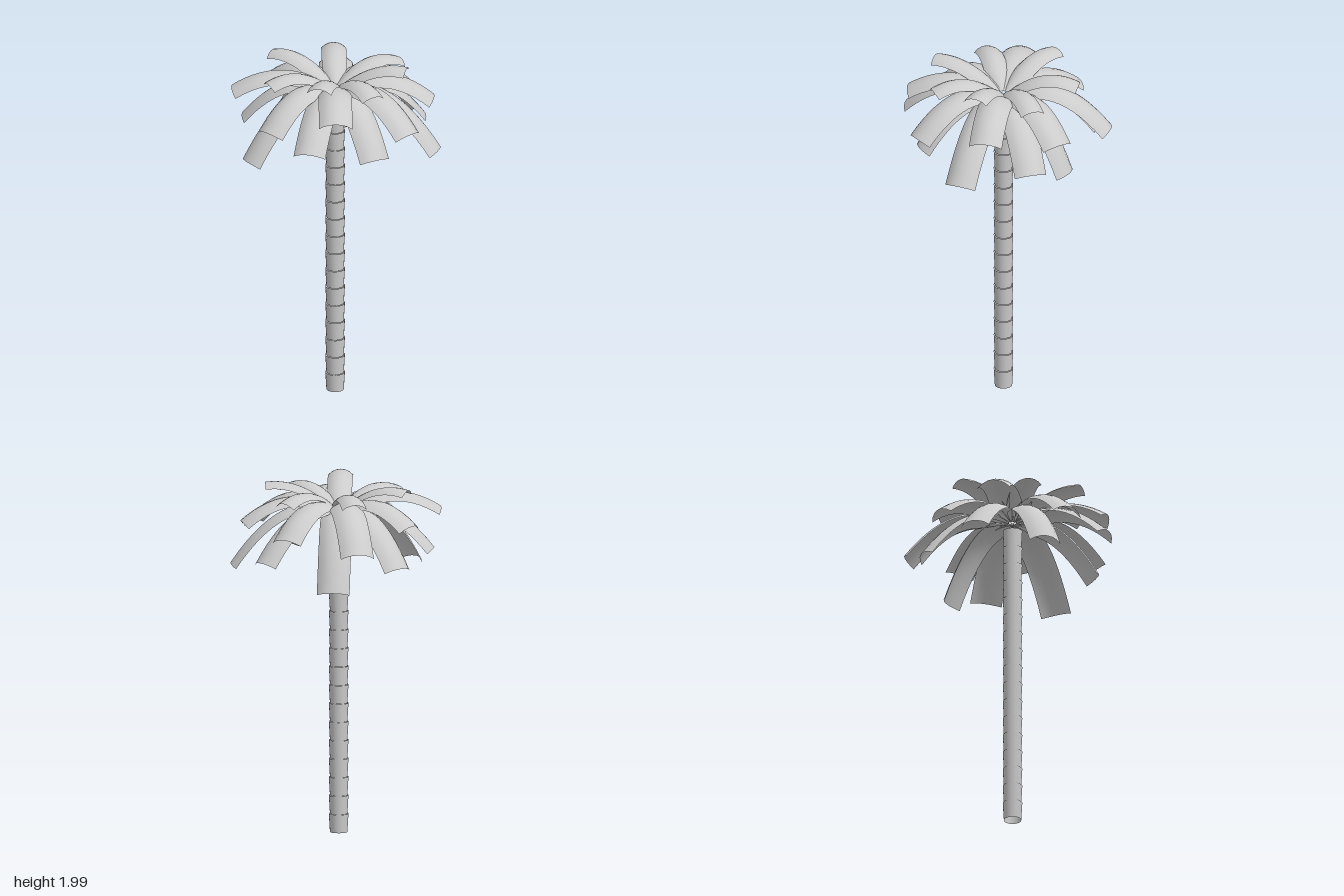
import * as THREE from 'three';

const material = new THREE.MeshStandardMaterial({ color: 0xcccccc, side: THREE.DoubleSide });

const CROWN_X = -0.02, CROWN_Y = 1.83, START = 0.02;

// Each frond: [angle in degrees from +x towards +z, reach, tip height]
const tiers = [
  {
    name: 'upperFrond', width: 0.14, slope: 0.92,
    fronds: [[-2, 0.41, 1.98], [44, 0.425, 1.92], [88, 0.415, 1.985], [141, 0.415, 1.92],
      [199, 0.42, 1.96], [254, 0.43, 1.92], [312, 0.435, 1.91]],
  },
  {
    name: 'middleFrond', width: 0.187, slope: 0.66,
    fronds: [[30, 0.6, 1.72], [75, 0.545, 1.83], [119, 0.555, 1.72], [166, 0.58, 1.83],
      [211, 0.505, 1.78], [256, 0.615, 1.67], [300, 0.555, 1.73], [346, 0.555, 1.78]],
  },
  {
    name: 'lowerFrond', width: 0.183, slope: 0.45,
    fronds: [[0, 0.605, 1.52], [47, 0.5, 1.57], [90, 0.597, 1.66], [135, 0.575, 1.5],
      [180, 0.535, 1.62], [226, 0.54, 1.56], [271, 0.415, 1.42], [318, 0.555, 1.58]],
  },
];

// Arched leaf along +x: a curved cross-section swept over a drooping parabola
function frondGeometry(reach, tipY, width, slope) {
  const rows = 14, cols = 6, halfAngle = 0.88;
  const span = reach - START;
  const drop = (CROWN_Y + slope * span - tipY) / (span * span);
  const geometry = new THREE.PlaneGeometry(1, 1, cols, rows);
  const position = geometry.attributes.position;
  for (let i = 0; i <= rows; i++) {
    const t = i / rows;
    const d = span * t;
    const tangent = Math.atan(slope - 2 * drop * d);
    const grow = Math.sin(Math.min(1, t / 0.32) * Math.PI / 2);
    const half = 0.02 + (width / 2 - 0.02) * grow;
    const radius = half / Math.sin(halfAngle);
    for (let j = 0; j <= cols; j++) {
      const a = (j / cols * 2 - 1) * halfAngle;
      const sag = radius * (1 - Math.cos(a));
      position.setXYZ(
        i * (cols + 1) + j,
        START + d + sag * Math.sin(tangent),
        CROWN_Y + slope * d - drop * d * d - sag * Math.cos(tangent),
        -radius * Math.sin(a),
      );
    }
  }
  // Wind the faces so that the outer side of the leaf is the front
  const index = geometry.index.array;
  for (let k = 0; k < index.length; k += 3) {
    [index[k], index[k + 1]] = [index[k + 1], index[k]];
  }
  geometry.computeVertexNormals();
  return geometry;
}

export function createModel() {
  const model = new THREE.Group();
  model.name = 'palmTree';

  // Trunk: stacked open sleeves, each flaring towards its top
  const trunk = new THREE.Group();
  trunk.name = 'trunk';
  const count = 17, height = 0.1045;
  const sleeve = new THREE.CylinderGeometry(0.055, 0.049, height, 20, 1, true);
  for (let i = 0; i < count; i++) {
    const segment = new THREE.Mesh(sleeve, material);
    segment.name = 'trunkSegment';
    segment.position.set(CROWN_X, (i + 0.5) * height, 0);
    trunk.add(segment);
  }
  model.add(trunk);

  // Crown: three tiers of fronds
  const crown = new THREE.Group();
  crown.name = 'crown';
  crown.position.x = CROWN_X;
  for (const { name, width, slope, fronds } of tiers) {
    for (const [angle, reach, tipY] of fronds) {
      const frond = new THREE.Mesh(frondGeometry(reach, tipY, width, slope), material);
      frond.name = name;
      frond.rotation.y = -THREE.MathUtils.degToRad(angle);
      crown.add(frond);
    }
  }
  model.add(crown);
  return model;
}
